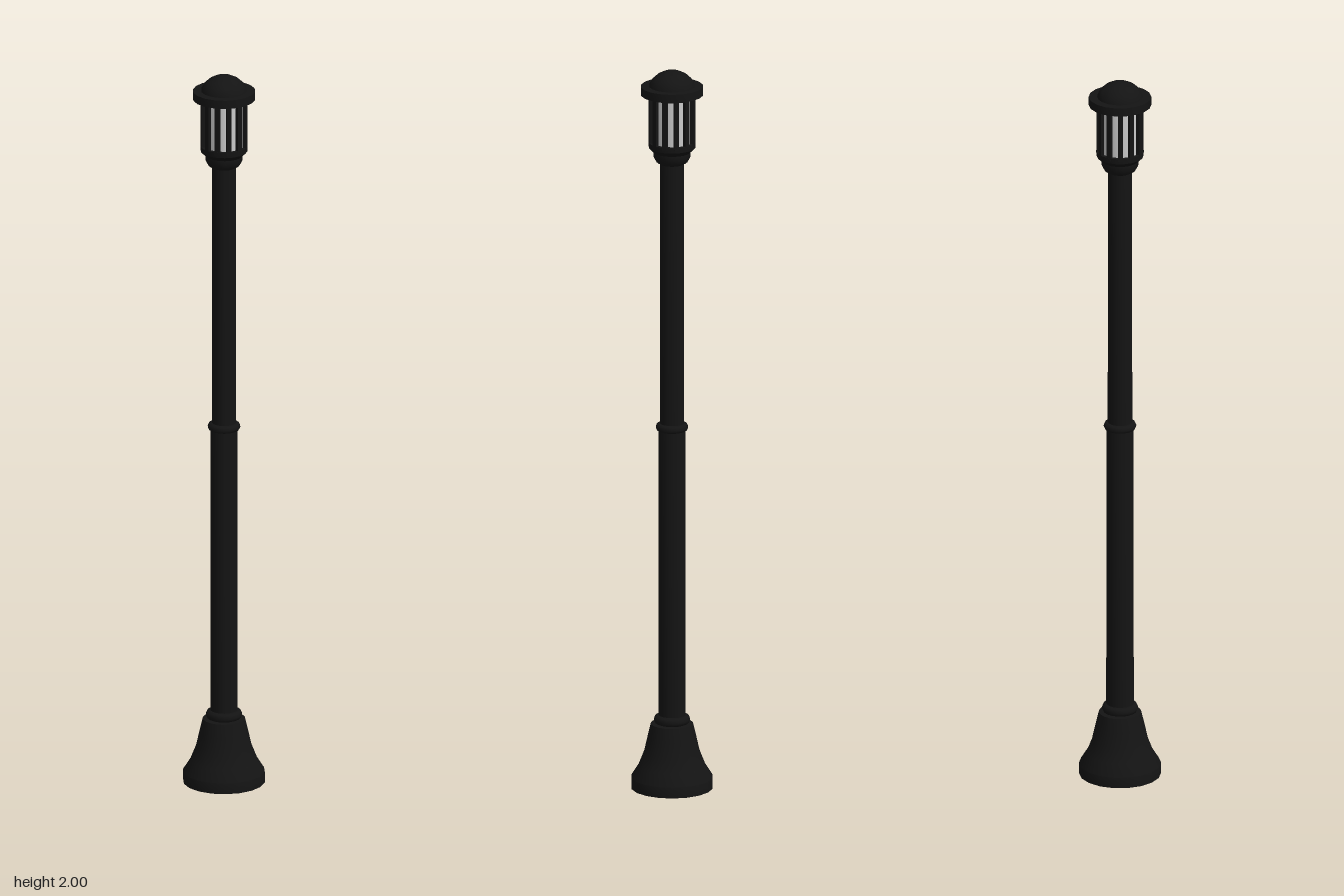
import * as THREE from 'three';
import { toCreasedNormals } from 'three/addons/utils/BufferGeometryUtils.js';

const SIDES = 18;
const iron = new THREE.MeshStandardMaterial({ color: 0x141414 });
const glass = new THREE.MeshStandardMaterial({ color: 0xcccccc });

// Turned part from [radius, height] pairs, listed bottom to top
function turned(name, profile, material = iron) {
  const points = profile.map(([r, y]) => new THREE.Vector2(r, y));
  const geometry = new THREE.LatheGeometry(points, SIDES).rotateY(Math.PI / 2);
  const mesh = new THREE.Mesh(toCreasedNormals(geometry, 0.6), material);
  mesh.name = name;
  return mesh;
}

// Rounded collar around the pole
function collar(name, y, radius, tube) {
  const geometry = new THREE.TorusGeometry(radius, tube, 8, SIDES).rotateX(Math.PI / 2);
  const mesh = new THREE.Mesh(geometry, iron);
  mesh.position.y = y;
  mesh.name = name;
  return mesh;
}

export function createModel() {
  const model = new THREE.Group();
  model.name = 'streetLamp';

  // Flared foot and two-stage pole
  model.add(
    turned('base', [[0, 0], [0.11, 0], [0.11, 0.03], [0.09, 0.062], [0.075, 0.1],
      [0.066, 0.14], [0.057, 0.178], [0, 0.178]]),
    collar('baseCollar', 0.19, 0.036, 0.013),
    turned('lowerPole', [[0.037, 0.17], [0.036, 1.0], [0, 1.0]]),
    collar('middleCollar', 1.005, 0.033, 0.011),
    turned('upperPole', [[0.033, 1.0], [0.032, 1.75]])
  );

  // Lantern: cup, glass, bars and cap
  const lantern = new THREE.Group();
  lantern.name = 'lantern';
  lantern.add(
    turned('lanternCup', [[0.03, 1.738], [0.042, 1.745], [0.05, 1.76], [0.05, 1.772],
      [0.063, 1.785], [0.064, 1.8], [0, 1.8]]),
    turned('lanternGlass', [[0.054, 1.79], [0.054, 1.935]], glass),
    turned('brim', [[0, 1.925], [0.064, 1.925], [0.064, 1.932], [0.084, 1.932],
      [0.084, 1.955], [0, 1.955]]),
    turned('dome', [[0.062, 1.95], [0.06, 1.962], [0.052, 1.975], [0.04, 1.986],
      [0.022, 1.995], [0, 2]])
  );

  const barCount = 12;
  const barGeometry = new THREE.BoxGeometry(0.013, 0.14, 0.012);
  for (let i = 0; i < barCount; i++) {
    const angle = (i / barCount) * Math.PI * 2;
    const bar = new THREE.Mesh(barGeometry, iron);
    bar.name = 'lanternBar';
    bar.position.set(Math.sin(angle) * 0.057, 1.862, Math.cos(angle) * 0.057);
    bar.rotation.y = angle;
    lantern.add(bar);
  }
  model.add(lantern);
  return model;
}
